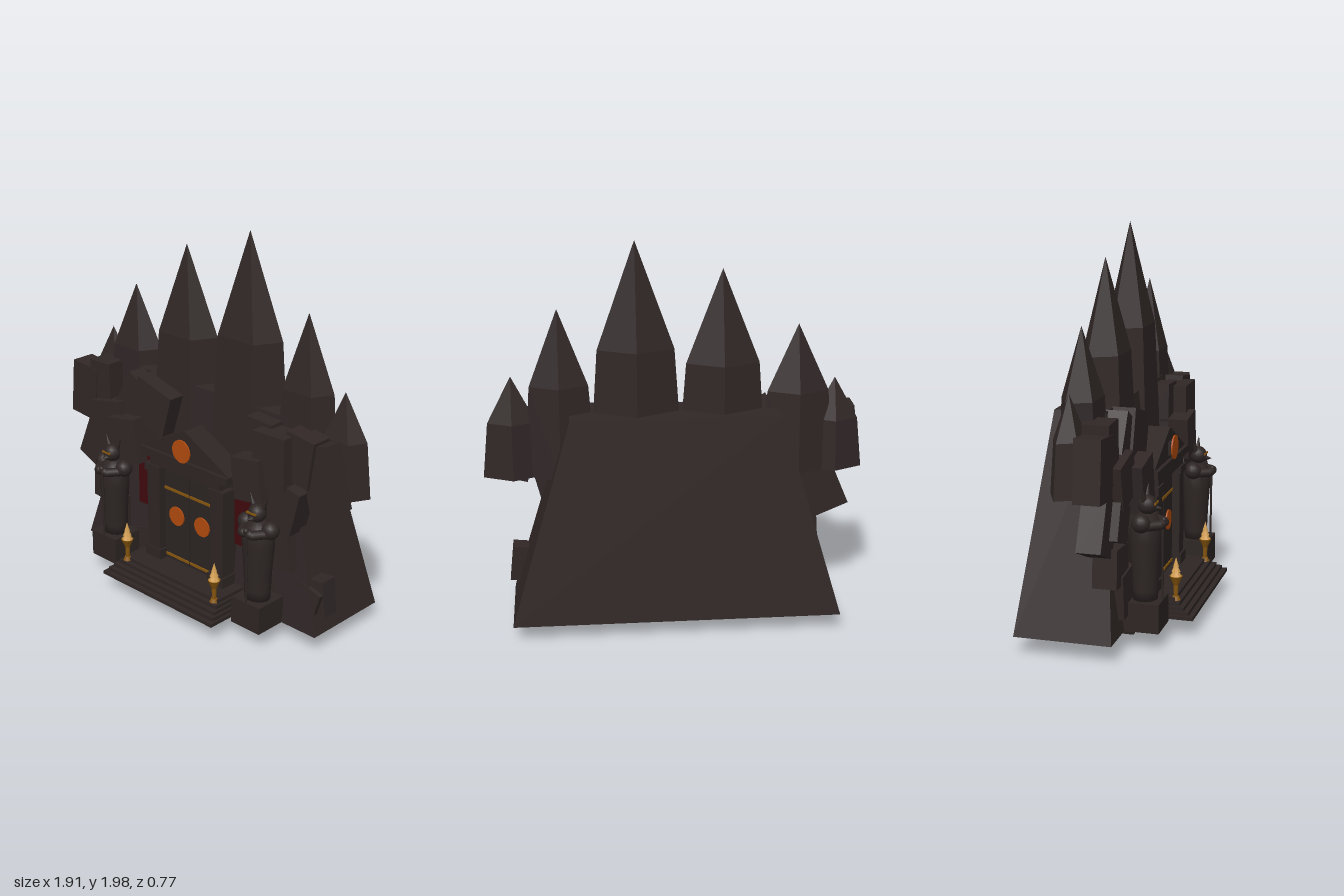
import * as THREE from 'three';

const mat = (name, color) => Object.assign(new THREE.MeshStandardMaterial({ color }), { name });

export function createModel() {
  const root = new THREE.Group();
  root.name = 'mountainGate';
  const rock = mat('rock', 0x302726);
  const stone = mat('carvedStone', 0x2d2524);
  const iron = mat('darkDoor', 0x2b2423);
  const orange = mat('emberOrange', 0xb04a0e);
  const gold = mat('agedGold', 0x86560f);
  const flameMat = mat('flame', 0xd09c50);
  const bannerRed = mat('bannerRed', 0x400a0c);

  // Helpers
  const flat = (g) => {
    const f = g.index ? g.toNonIndexed() : g;
    f.computeVertexNormals();
    return f;
  };
  const add = (parent, name, geo, material, x = 0, y = 0, z = 0) => {
    const m = new THREE.Mesh(geo, material);
    m.name = name;
    m.position.set(x, y, z);
    parent.add(m);
    return m;
  };
  // Box given by its centre x, bottom and top y, back and front z
  const block = (parent, name, material, x, w, y0, y1, z0, z1) =>
    add(parent, name, new THREE.BoxGeometry(w, y1 - y0, z1 - z0), material, x, (y0 + y1) / 2, (z0 + z1) / 2);
  const ball = (parent, name, material, r, x, y, z) =>
    add(parent, name, new THREE.SphereGeometry(r, 14, 10), material, x, y, z);

  // Mountain mass: box tapering towards its top
  const mass = new THREE.BoxGeometry(1.66, 1.045, 0.485);
  const p = mass.attributes.position;
  for (let i = 0; i < p.count; i++) {
    if (p.getY(i) > 0) p.setXYZ(i, p.getX(i) * 0.63, p.getY(i), p.getZ(i) * 0.53);
  }
  add(root, 'mountainBody', flat(mass), rock, 0, 0.6275, -0.1425);

  // Five-sided spires: x, tip height, half width
  const spires = [
    [-0.81, 1.29, 0.145], [-0.62, 1.57, 0.19], [-0.24, 1.855, 0.225],
    [0.19, 2.0, 0.235], [0.57, 1.67, 0.18], [0.805, 1.335, 0.15],
  ];
  for (const [x, tip, half] of spires) {
    const r = half / 0.951, base = 0.82;
    const profile = [[0, base], [r, base], [r * 0.81, base + (tip - base) * 0.55], [0, tip]];
    const g = new THREE.LatheGeometry(profile.map(([a, b]) => new THREE.Vector2(a, b)), 5, Math.PI);
    g.scale(1, 1, 0.62);
    add(root, 'spire', flat(g), rock, x, 0, -0.1);
  }

  // Loose slabs: x, y, z, width, height, depth, tilt in degrees
  const slabs = [
    [-0.85, 0.955, 0.025, 0.19, 0.30, 0.13, -5],
    [-0.72, 1.0, 0.02, 0.15, 0.3, 0.13, 2],
    [-0.78, 0.665, 0.02, 0.19, 0.27, 0.12, -23],
    [-0.68, 0.66, 0.06, 0.17, 0.18, 0.12, -20],
    [-0.67, 0.45, 0.05, 0.19, 0.19, 0.12, -4],
    [-0.62, 0.85, 0.06, 0.22, 0.22, 0.13, 12],
    [-0.48, 1.0, 0.02, 0.17, 0.26, 0.13, -30],
    [-0.45, 0.8, 0.1, 0.2, 0.24, 0.15, 10],
    [-0.32, 1.0, 0.04, 0.25, 0.25, 0.12, -16],
    [-0.6, 0.3, 0.07, 0.18, 0.22, 0.1, 5],
    [-0.355, 0.165, 0.03, 0.23, 0.24, 0.13, 18],
    [0.54, 0.975, 0.07, 0.2, 0.27, 0.14, 1],
    [0.41, 0.98, 0.01, 0.16, 0.3, 0.12, -3],
    [0.79, 0.93, 0.015, 0.19, 0.33, 0.09, 15],
    [0.67, 1.0, 0.02, 0.17, 0.25, 0.12, -8],
    [0.43, 0.85, 0.1, 0.18, 0.22, 0.15, 8],
    [0.6, 0.75, 0.06, 0.2, 0.24, 0.12, -14],
    [0.56, 0.5, 0.05, 0.2, 0.22, 0.12, 10],
    [0.775, 0.29, 0.005, 0.13, 0.19, 0.09, 6],
    [0.735, 0.27, 0.03, 0.16, 0.16, 0.09, -17],
    [0.49, 0.2, 0.03, 0.19, 0.26, 0.13, 20],
  ];
  for (const [x, y, z, w, h, d, tilt] of slabs) {
    add(root, 'rockSlab', new THREE.BoxGeometry(w, h, d), rock, x, y, z).rotation.z = THREE.MathUtils.degToRad(tilt);
  }

  // Steps
  for (let i = 0; i < 5; i++) {
    block(root, 'step', stone, 0, 0.8 - i * 0.028, 0.105 + i * 0.018, 0.123 + i * 0.018, 0, 0.385 - i * 0.026);
  }

  // Gate frame
  const gate = new THREE.Group();
  gate.name = 'gate';
  root.add(gate);
  block(gate, 'gateBacking', stone, 0, 0.54, 0.19, 0.8, 0, 0.1);
  block(gate, 'lintel', stone, 0, 0.5, 0.73, 0.78, 0.04, 0.17);
  block(gate, 'cornice', stone, 0, 0.62, 0.78, 0.82, 0.04, 0.185);
  const gable = (w, y, top, d) => {
    const s = new THREE.Shape([[-w, y], [w, y], [0, top]].map(([a, b]) => new THREE.Vector2(a, b)));
    return new THREE.ExtrudeGeometry(s, { depth: d, bevelEnabled: false });
  };
  add(gate, 'pediment', gable(0.31, 0.82, 0.98, 0.125), stone, 0, 0, 0.04);
  const disc = (name, r, x, y, z) => {
    const g = new THREE.CylinderGeometry(r, r, 0.008, 20);
    g.rotateX(Math.PI / 2);
    add(gate, name, g, orange, x, y, z);
  };
  disc('pedimentDisc', 0.062, 0, 0.877, 0.189);
  block(gate, 'pedimentBoss', stone, 0, 0.08, 0.84, 0.91, 0.15, 0.186);

  for (const s of [-1, 1]) {
    block(gate, 'pilaster', stone, s * 0.228, 0.09, 0.19, 0.73, 0.03, 0.17);
    block(gate, 'pilasterBase', stone, s * 0.228, 0.11, 0.19, 0.25, 0.03, 0.18);
    block(gate, 'pilasterCapital', stone, s * 0.228, 0.11, 0.69, 0.73, 0.03, 0.18);
    block(gate, 'doorLeaf', iron, s * 0.092, 0.178, 0.19, 0.73, 0.05, 0.13);
    disc('doorDisc', 0.053, s * 0.092, 0.463, 0.134);
    for (const y of [0.22, 0.605]) block(gate, 'doorBand', gold, s * 0.092, 0.176, y - 0.007, y + 0.007, 0.129, 0.136);
    block(root, 'banner', bannerRed, s * 0.35, 0.1, 0.44, 0.725, 0.104, 0.112);
    block(root, 'bannerBacking', stone, s * 0.34, 0.08, 0.46, 0.715, 0.02, 0.104);
  }

  // Guardian statue on a pedestal
  const statueProfile = [[0, 0.24], [0.068, 0.24], [0.07, 0.3], [0.076, 0.42], [0.086, 0.54], [0.085, 0.6], [0.07, 0.65], [0.035, 0.675], [0, 0.68]]
    .map(([a, b]) => new THREE.Vector2(a, b));
  const makeStatue = (x) => {
    const g = new THREE.Group();
    g.name = 'guardianStatue';
    g.position.set(x, 0, 0.18);
    root.add(g);
    block(g, 'pedestal', stone, 0, 0.185, 0.105, 0.25, -0.09, 0.09);
    add(g, 'robe', new THREE.LatheGeometry(statueProfile, 20), stone).scale.z = 0.88;
    ball(g, 'head', stone, 0.048, 0, 0.715, 0.01);
    block(g, 'visor', gold, 0, 0.06, 0.721, 0.731, 0.05, 0.058);
    const snout = add(g, 'snout', new THREE.ConeGeometry(0.028, 0.06, 8), stone, 0, 0.7, 0.055);
    snout.rotation.x = Math.PI / 2;
    for (const s of [-1, 1]) {
      ball(g, 'shoulder', stone, 0.046, s * 0.078, 0.642, 0);
      const arm = add(g, 'forearm', new THREE.CapsuleGeometry(0.024, 0.07, 4, 10), stone, s * 0.055, 0.628, 0.05);
      arm.rotation.set(Math.PI / 2, 0, s * 0.6);
      ball(g, 'hand', stone, 0.024, s * 0.022, 0.63, 0.085);
      const horn = add(g, 'horn', new THREE.ConeGeometry(0.018, 0.085, 8), stone, s * 0.04, 0.77, 0);
      horn.rotation.z = -s * 0.4;
    }
    // Weapon held upright in front
    add(g, 'swordBlade', new THREE.CylinderGeometry(0.007, 0.005, 0.4, 8), stone, 0, 0.45, 0.084);
    ball(g, 'swordPommel', stone, 0.015, 0, 0.645, 0.09);
  };

  // Torch with a layered flame
  const makeTorch = (x) => {
    const g = new THREE.Group();
    g.name = 'torch';
    g.position.set(x, 0, 0.28);
    root.add(g);
    add(g, 'torchFoot', new THREE.CylinderGeometry(0.015, 0.024, 0.02, 10), gold, 0, 0.19, 0);
    add(g, 'torchPole', new THREE.CylinderGeometry(0.014, 0.01, 0.1, 10), gold, 0, 0.235, 0);
    add(g, 'torchBowl', new THREE.CylinderGeometry(0.033, 0.014, 0.045, 10), gold, 0, 0.28, 0);
    [[0.03, 0.05, 0.325], [0.023, 0.05, 0.35], [0.015, 0.05, 0.375]].forEach(([r, h, y]) =>
      add(g, 'flame', flat(new THREE.ConeGeometry(r, h, 8)), flameMat, 0, y, 0));
  };

  for (const s of [-1, 1]) {
    makeStatue(s * 0.522);
    makeTorch(s * 0.32);
  }
  return root;
}
